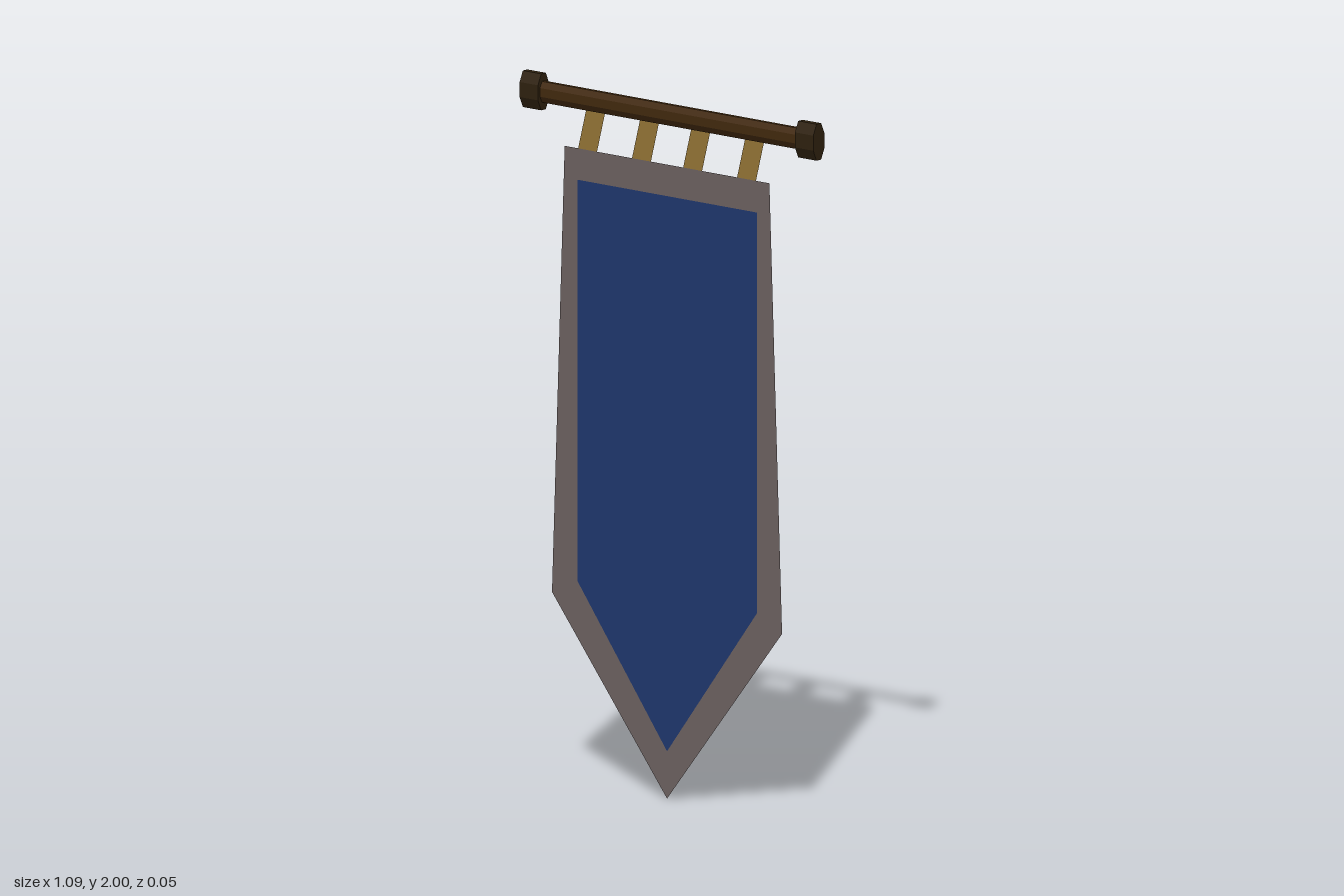
import * as THREE from 'three';

const mat = (color) => new THREE.MeshStandardMaterial({ color, side: THREE.DoubleSide, flatShading: true });

// Pointed banner outline: half width at the top, half width at the shoulder, and three heights
function outline(top, shoulder, yTop, yShoulder, yTip) {
  return [[-top, yTop], [-shoulder, yShoulder], [0, yTip], [shoulder, yShoulder], [top, yTop]]
    .map(([x, y]) => new THREE.Vector2(x, y));
}

// Flattened eight-sided bar along x
function bar(name, length, halfY, halfZ, x, material) {
  const r = 1 / Math.cos(Math.PI / 8);
  const geo = new THREE.CylinderGeometry(r, r, length, 8);
  geo.rotateY(Math.PI / 8);
  geo.rotateZ(Math.PI / 2);
  geo.scale(1, halfY, halfZ);
  const mesh = new THREE.Mesh(geo, material);
  mesh.name = name;
  mesh.position.set(x, 1.948, 0);
  return mesh;
}

// Thin strip of cloth between two (y, z) edges
function strip(name, width, [y0, z0], [y1, z1], material) {
  const geo = new THREE.PlaneGeometry(width, Math.hypot(y1 - y0, z1 - z0));
  geo.rotateX(Math.atan2(z1 - z0, y1 - y0));
  geo.translate(0, (y0 + y1) / 2, (z0 + z1) / 2);
  const mesh = new THREE.Mesh(geo, material);
  mesh.name = name;
  return mesh;
}

export function createModel() {
  const group = new THREE.Group();
  group.name = 'hangingBanner';
  const wood = mat(0x432a0e), darkWood = mat(0x30220f);
  const gold = mat(0x86692f), border = mat(0x6e6362), blue = mat(0x20386f);
  const clothZ = 0.021;

  // Rod with a thicker cap at each end
  group.add(bar('rod', 1.0, 0.03, 0.015, 0, wood));
  for (const s of [-1, 1]) {
    group.add(bar(s > 0 ? 'leftCap' : 'rightCap', 0.068, 0.052, 0.0235, s * 0.511, darkWood));
  }

  // Cloth border with the coloured panel set into it
  const inner = outline(0.333, 0.333, 1.72, 0.575, 0.135);
  const frame = new THREE.Shape(outline(0.38, 0.427, 1.81, 0.53, 0));
  frame.holes.push(new THREE.Path(inner));
  const parts = [['clothBorder', frame, border], ['clothPanel', new THREE.Shape(inner), blue]];
  for (const [name, shape, material] of parts) {
    const mesh = new THREE.Mesh(new THREE.ShapeGeometry(shape), material);
    mesh.name = name;
    mesh.position.z = clothZ;
    group.add(mesh);
  }

  // Straps slant from the cloth to the back of the rod and lie flat against it
  for (const x of [-0.295, -0.095, 0.095, 0.295]) {
    const strap = new THREE.Group();
    strap.name = 'strap';
    strap.position.x = x;
    strap.add(strip('strapFront', 0.07, [1.81, clothZ], [1.93, -0.018], gold));
    strap.add(strip('strapBack', 0.07, [1.93, -0.018], [1.96, -0.018], border));
    group.add(strap);
  }
  return group;
}
